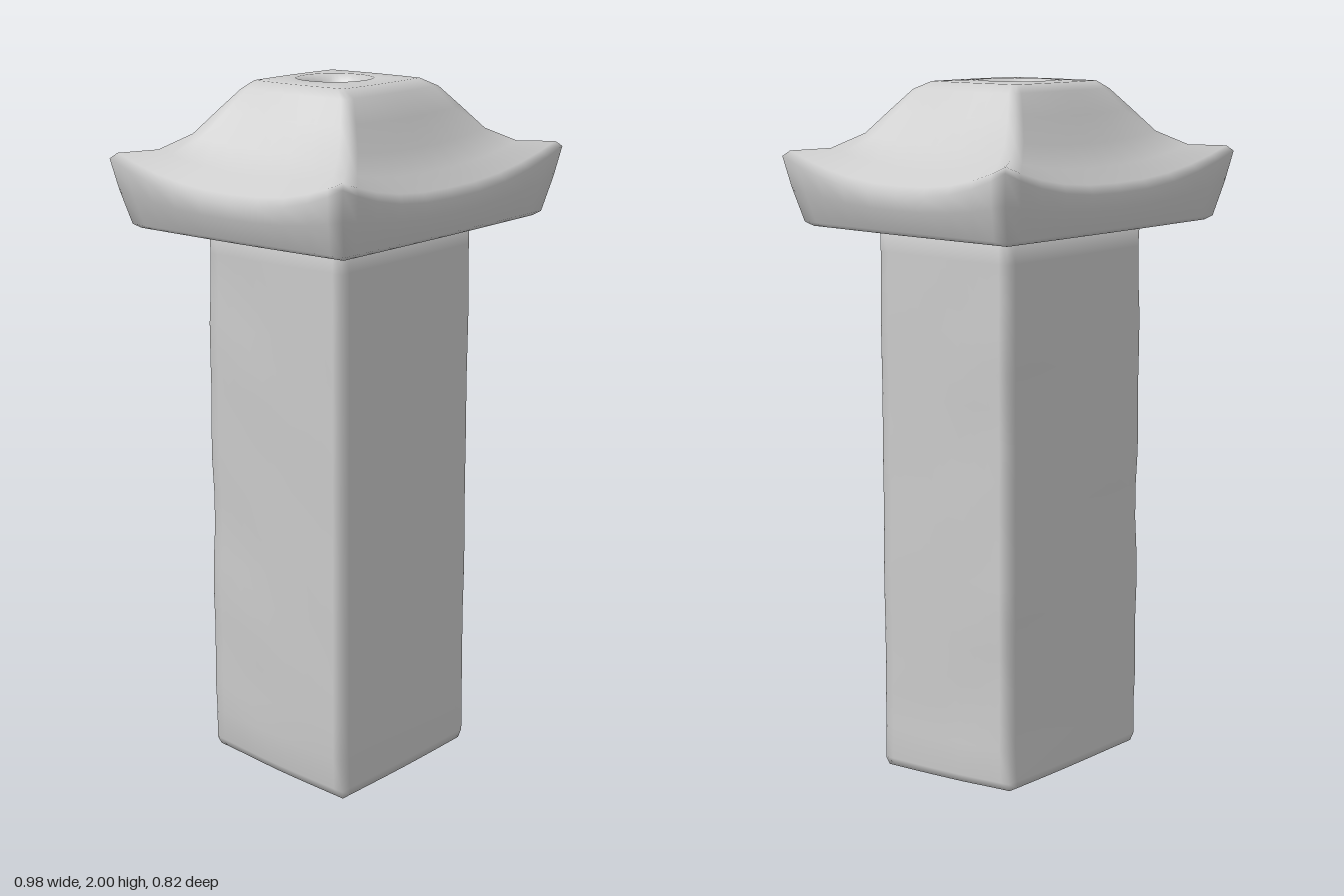
import * as THREE from 'three';

const SIDE = 10; // segments along each side of a ring
const N = SIDE * 4;

// Point on the unit square's outline, blended towards a circle by round (0..1)
function outline(i, round) {
  const t = (i % SIDE) / SIDE * 2 - 1;
  const s = Math.sin(t * Math.PI / 2) * 0.5 + t * 0.5; // denser near corners
  const [u, v] = [[s, 1], [1, -s], [-s, -1], [-1, s]][Math.floor(i / SIDE)];
  const len = Math.hypot(u, v);
  return {
    u: THREE.MathUtils.lerp(u, u / len, round),
    v: THREE.MathUtils.lerp(v, v / len, round),
    corner: Math.min(Math.abs(u), Math.abs(v)),
  };
}

// Closed smooth skin through stacked rings, listed from bottom to top
function loft(rings, bottomY, topY, warp = (p) => p) {
  const pos = [], index = [];
  const add = (x, y, z) => {
    const p = warp(new THREE.Vector3(x, y, z));
    pos.push(p.x, p.y, p.z);
  };
  for (const { hx, hz, y, lift = 0, pinch = 0, round = 0, cx = 0, cz = 0 } of rings) {
    for (let i = 0; i < N; i++) {
      const { u, v, corner } = outline(i, round);
      const k = 1 - pinch * (1 - corner * corner);
      add(cx + u * hx * k, y + lift * corner ** 2.5, cz + v * hz * k);
    }
  }
  const first = rings[0], last = rings[rings.length - 1];
  add(first.cx ?? 0, bottomY, first.cz ?? 0);
  add(last.cx ?? 0, topY, last.cz ?? 0);
  const low = rings.length * N, high = low + 1, top = low - N;
  for (let i = 0; i < N; i++) {
    const j = (i + 1) % N;
    for (let r = 0; r < rings.length - 1; r++) {
      const a = r * N + i, b = r * N + j, c = a + N, d = b + N;
      index.push(a, b, c, b, d, c);
    }
    index.push(low, j, i, high, top + i, top + j);
  }
  const g = new THREE.BufferGeometry();
  g.setAttribute('position', new THREE.Float32BufferAttribute(pos, 3));
  g.setIndex(index);
  g.computeVertexNormals();
  return g;
}

export function createModel() {
  const group = new THREE.Group();
  const material = new THREE.MeshStandardMaterial({ color: 0xcccccc });
  const addPart = (name, geometry) => {
    const mesh = new THREE.Mesh(geometry, material);
    mesh.name = name;
    group.add(mesh);
  };

  // Roughly hewn shaft, its foot sloping up towards the back
  const shaftRings = [
    { hx: 0.24, hz: 0.2, y: 0, round: 0.03 },
    { hx: 0.28, hz: 0.24, y: 0, round: 0.05 },
    { hx: 0.291, hz: 0.246, y: 0.025, round: 0.06 },
  ];
  for (let k = 1; k <= 16; k++) {
    shaftRings.push({ hx: 0.292, hz: 0.242, y: 0.025 + k * 0.1, round: 0.06, cx: -0.006, cz: 0.006 });
  }
  const hew = (p) => {
    const back = p.z < 0 ? 1 : 0.3; // the front is dressed smoother
    const dent = 0.006 * back * (Math.sin(p.y * 9 + p.x * 8) + Math.sin(p.y * 17 + p.z * 13 + 1));
    const slope = 0.08 * (0.24 - p.z) * Math.max(0, 1 - p.y / 0.4);
    return p.set(p.x * (1 + dent), p.y + slope, p.z * (1 + dent));
  };
  addPart('shaft', loft(shaftRings, 0.02, 1.625, hew));

  // Capstone: flared rim with upswept corners, concave roof, bowl in the top
  addPart('capstone', loft([
    { hx: 0.39, hz: 0.33, y: 1.6, round: 0.03 },
    { hx: 0.43, hz: 0.365, y: 1.6, round: 0.04 },
    { hx: 0.45, hz: 0.383, y: 1.612, pinch: 0.01, round: 0.05 },
    { hx: 0.478, hz: 0.402, y: 1.67, lift: 0.04, pinch: 0.03, round: 0.04 },
    { hx: 0.495, hz: 0.416, y: 1.71, lift: 0.085, pinch: 0.05, round: 0.03 },
    { hx: 0.478, hz: 0.402, y: 1.735, lift: 0.075, pinch: 0.06, round: 0.03 },
    { hx: 0.385, hz: 0.335, y: 1.775, lift: 0.04, pinch: 0.03, round: 0.03 },
    { hx: 0.305, hz: 0.28, y: 1.835, lift: 0.02, round: 0.04 },
    { hx: 0.25, hz: 0.235, y: 1.91, lift: 0.01, round: 0.06 },
    { hx: 0.205, hz: 0.195, y: 1.975, round: 0.1 },
    { hx: 0.175, hz: 0.165, y: 1.997, round: 0.15, cz: -0.01 },
    { hx: 0.105, hz: 0.105, y: 2.0, round: 0.9, cz: -0.02 },
    { hx: 0.092, hz: 0.095, y: 1.98, round: 1, cz: -0.02 },
    { hx: 0.075, hz: 0.075, y: 1.945, round: 1, cz: -0.02 },
    { hx: 0.04, hz: 0.04, y: 1.925, round: 1, cz: -0.02 },
  ], 1.6, 1.92));

  return group;
}
